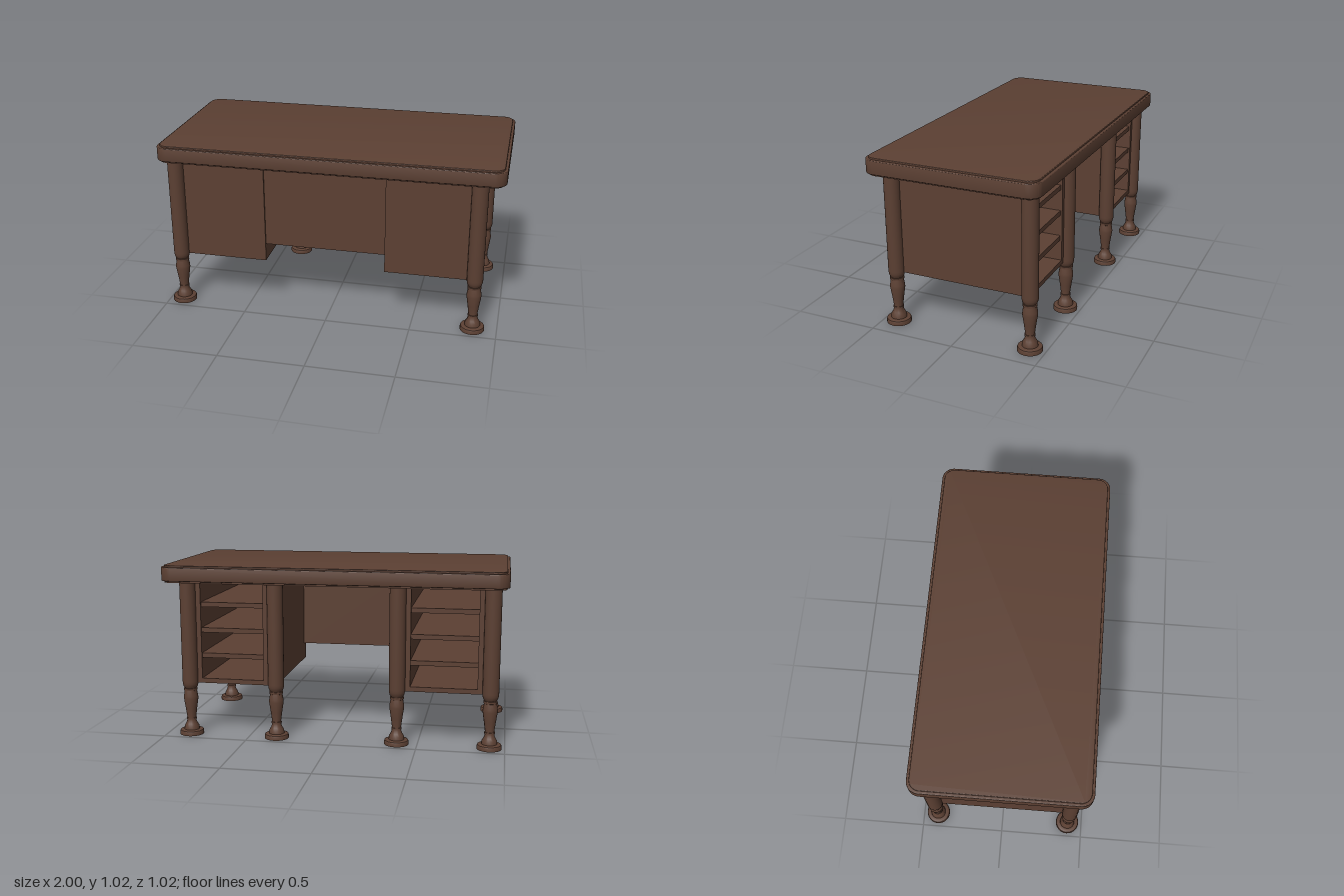
import * as THREE from 'three';
import { toCreasedNormals } from 'three/addons/utils/BufferGeometryUtils.js';

const wood = new THREE.MeshStandardMaterial({ color: 0x5c4033 });

const OUTER_L = 0.858, INNER_L = 0.333, INNER_R = -0.38, OUTER_R = -0.912; // leg centre lines in x
const LEG_Z = 0.41;      // leg centre line in z
const TOP = 0.925;       // underside of the desk top
const FLOOR = 0.315;     // underside of the pedestals
const WALL = 0.075;      // thickness of the pedestal walls

function add(parent, name, geometry, x = 0, y = 0, z = 0) {
  const mesh = new THREE.Mesh(geometry, wood);
  mesh.name = name;
  mesh.position.set(x, y, z);
  parent.add(mesh);
  return mesh;
}

// Box given by its limits on each axis
function panel(parent, name, [x0, x1], [y0, y1], [z0, z1]) {
  add(parent, name, new THREE.BoxGeometry(x1 - x0, y1 - y0, z1 - z0),
    (x0 + x1) / 2, (y0 + y1) / 2, (z0 + z1) / 2);
}

// Horizontal plate with rounded corners and a softened rim
function plate(hx, hz, r, y0, y1, bevel) {
  const a = hx - bevel, b = hz - bevel, q = r - bevel;
  const s = new THREE.Shape();
  s.absarc(a - q, b - q, q, 0, Math.PI / 2);
  s.absarc(-a + q, b - q, q, Math.PI / 2, Math.PI);
  s.absarc(-a + q, -b + q, q, Math.PI, Math.PI * 1.5);
  s.absarc(a - q, -b + q, q, Math.PI * 1.5, Math.PI * 2);
  const g = new THREE.ExtrudeGeometry(s, {
    depth: y1 - y0 - 2 * bevel, curveSegments: 8,
    bevelEnabled: bevel > 0, bevelSize: bevel, bevelThickness: bevel, bevelSegments: 3,
  });
  g.rotateX(-Math.PI / 2).translate(0, y0 + bevel, 0);
  return toCreasedNormals(g, 0.6);
}

// Turned leg: radius and height from foot to column top
function legGeometry() {
  const profile = [
    [0, 0], [0.071, 0], [0.071, 0.018], [0.068, 0.026], [0.06, 0.03],
    [0.045, 0.03], [0.043, 0.05], [0.034, 0.065], [0.028, 0.08], [0.026, 0.09],
    [0.03, 0.09], [0.03, 0.1], [0.026, 0.1], [0.034, 0.16], [0.043, 0.22],
    [0.042, 0.235], [0.036, 0.268], [0.04, 0.27], [0.04, 0.283], [0.034, 0.283],
    [0.042, 0.295], [0.046, 0.31], [0.047, 0.325], [0.047, TOP],
  ].map(([r, y]) => new THREE.Vector2(r, y));
  return toCreasedNormals(new THREE.LatheGeometry(profile, 24), 0.6);
}

// Cabinet between two leg lines, open at the back, with shelves
function pedestal(name, x0, x1) {
  const g = new THREE.Group();
  g.name = name;
  const depth = [-LEG_Z, LEG_Z];
  panel(g, 'sideWall', [x0, x0 + WALL], [FLOOR, TOP], depth);
  panel(g, 'sideWall', [x1 - WALL, x1], [FLOOR, TOP], depth);
  panel(g, 'frontWall', [x0 + WALL, x1 - WALL], [FLOOR, TOP], [LEG_Z - 0.03, LEG_Z]);
  for (let i = 0; i < 4; i++) {
    const y = FLOOR + i * 0.152;
    panel(g, i ? 'shelf' : 'cabinetFloor', [x0 + WALL, x1 - WALL], [y, y + 0.028],
      [-LEG_Z + (i ? 0.01 : 0), LEG_Z - 0.03]);
  }
  return g;
}

export function createModel() {
  const desk = new THREE.Group();
  desk.name = 'desk';

  // Desk top: thick slab between two slightly smaller plates
  const top = new THREE.Group();
  top.name = 'deskTop';
  add(top, 'lowerPlate', plate(0.985, 0.493, 0.06, 0.92, 0.932, 0));
  add(top, 'slab', plate(1, 0.508, 0.07, 0.93, 1.01, 0.004));
  add(top, 'upperPlate', plate(0.985, 0.493, 0.06, 1.008, 1.02, 0.003));
  desk.add(top);

  // Pedestals and the panel closing the front of the knee space
  desk.add(pedestal('leftPedestal', INNER_L, OUTER_L));
  desk.add(pedestal('rightPedestal', OUTER_R, INNER_R));
  panel(desk, 'modestyPanel', [INNER_R, INNER_L], [0.42, TOP], [LEG_Z - 0.05, LEG_Z - 0.01]);

  // Four legs along the back, two at the front corners
  const leg = legGeometry();
  for (const x of [OUTER_R, INNER_R, INNER_L, OUTER_L]) add(desk, 'backLeg', leg, x, 0, -LEG_Z);
  for (const x of [OUTER_R, OUTER_L]) add(desk, 'frontLeg', leg, x, 0, LEG_Z);

  return desk;
}
